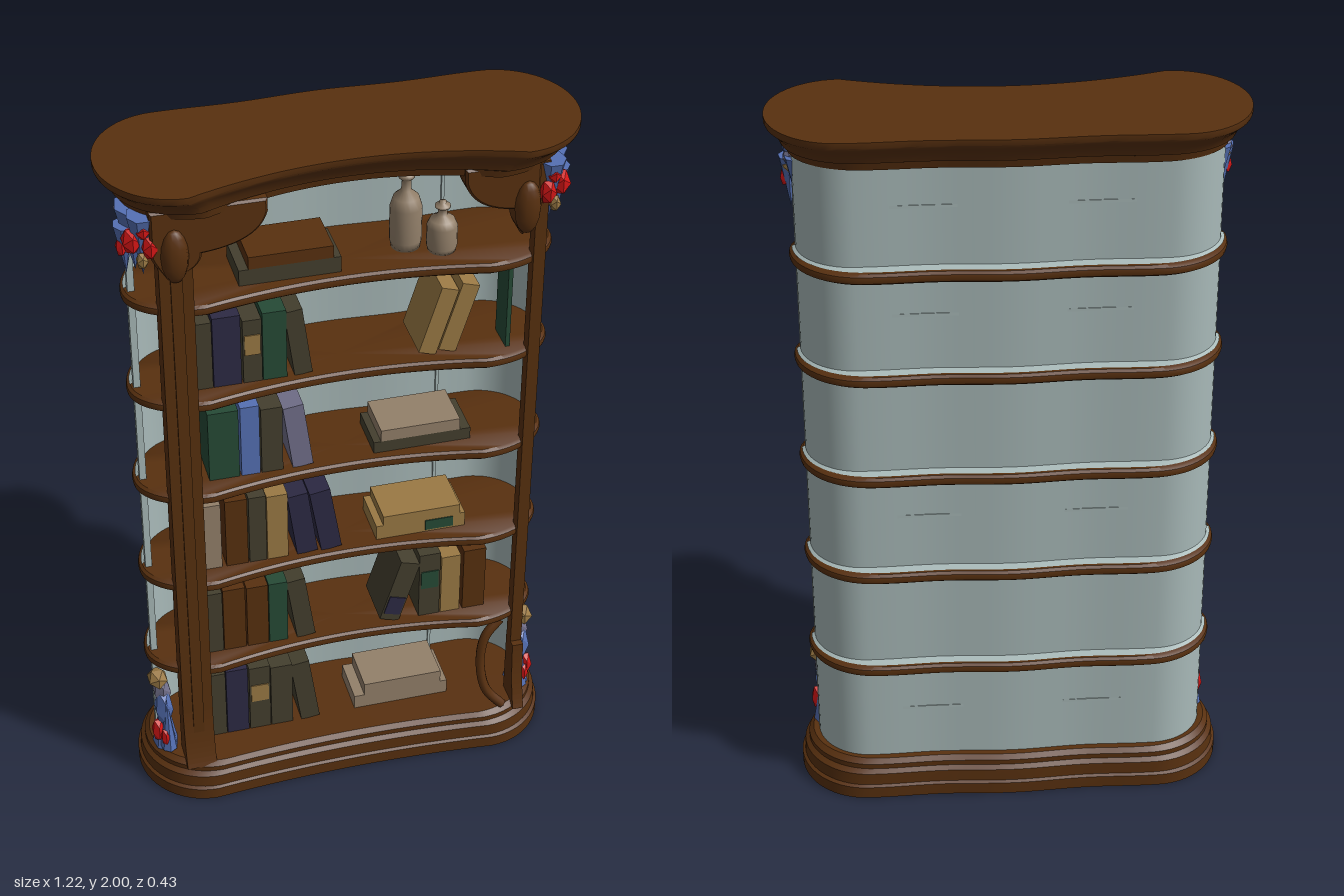
import * as THREE from 'three';
import { toCreasedNormals } from 'three/addons/utils/BufferGeometryUtils.js';

const mat = (name, color, side = THREE.FrontSide) => {
  const m = new THREE.MeshStandardMaterial({ color, side });
  m.name = name;
  return m;
};

// Plan outline: rounded ends, bowed-in front, slightly wavy back. Starts at +x and runs to +z.
const K = 14, M = 24, R = 0.19;
function outline(w, back, front, dip, r = R) {
  const pts = [], xe = w - r;
  const arc = (s, e, n) => {
    for (let i = 0; i < n; i++) {
      const a = (s + ((e - s) * i) / n) * Math.PI;
      const c = Math.cos(a), sn = Math.sin(a);
      pts.push([Math.sign(c) * xe + r * c, sn * (sn > 0 ? front : back)]);
    }
  };
  const line = (sx, zf) => {
    for (let i = 0; i < M; i++) {
      const u = 1 - (2 * i) / M;
      pts.push([sx * xe * u, zf(u)]);
    }
  };
  arc(0, 0.5, K);
  line(1, u => front - dip * (1 - u * u));
  arc(0.50001, 1.5, 2 * K);
  line(-1, u => -back + 0.004 * (1 - Math.cos(2 * Math.PI * u)) - 0.006 * (1 - u * u));
  arc(1.50001, 2, K);
  return pts;
}

// Skin between stacked outlines [y, points]; closed bodies get flat caps.
function loft(layers, closed = true) {
  const pos = [], idx = [], n = layers[0][1].length;
  layers.forEach(([y, pts]) => pts.forEach(([x, z]) => pos.push(x, y, z)));
  for (let l = 0; l < layers.length - 1; l++)
    for (let i = 0; i < (closed ? n : n - 1); i++) {
      const a = l * n + i, b = l * n + ((i + 1) % n);
      idx.push(a, a + n, b, b, a + n, b + n);
    }
  if (closed) {
    const c = pos.length / 3, top = (layers.length - 1) * n;
    pos.push(0, layers[0][0], 0, 0, layers.at(-1)[0], 0);
    for (let i = 0; i < n; i++) {
      const j = (i + 1) % n;
      idx.push(c, i, j, c + 1, top + j, top + i);
    }
  }
  const g = new THREE.BufferGeometry();
  g.setAttribute('position', new THREE.Float32BufferAttribute(pos, 3));
  g.setIndex(idx);
  g.computeVertexNormals();
  return toCreasedNormals(g, 0.6);
}

export function createModel() {
  const root = new THREE.Group();
  const C = {
    wood: mat('wood', 0x58300f),
    glass: mat('pale glass', 0xa8b9b8, THREE.DoubleSide),
    olive: mat('dark olive', 0x443f2e),
    navy: mat('navy', 0x2d2a44),
    green: mat('green', 0x264a36),
    tan: mat('tan', 0x9a7944),
    taupe: mat('taupe', 0x93806a),
    blue: mat('blue', 0x5570b4),
    red: mat('red', 0xd01515),
    lavender: mat('lavender', 0x716f8a),
  };
  const add = (name, geo, m, x = 0, y = 0, z = 0, parent = root) => {
    const mesh = new THREE.Mesh(geo, m);
    mesh.name = name;
    mesh.position.set(x, y, z);
    parent.add(mesh);
    return mesh;
  };
  const box = (w, h, d) => new THREE.BoxGeometry(w, h, d);

  // Moulded base and cornice
  const moulding = (name, profile, w, d, dip) => add(name, loft(profile.map(([y, i]) =>
    [y, outline(w - i, d - i, d - i, dip)])), C.wood);
  moulding('base', [[0, 0], [0.035, 0], [0.04, 0.008], [0.075, 0.01], [0.085, 0.022], [0.1, 0.022], [0.112, 0.035]],
    0.6, 0.203, 0.02);
  moulding('cornice', [[1.905, 0.055], [1.925, 0.05], [1.93, 0.038], [1.95, 0.03], [1.97, 0.012], [1.98, 0.002],
    [1.985, 0], [2, 0]], 0.612, 0.213, 0.078);

  // Curved glass wall around the back, with its front edges and back seams
  const backHalf = ring => [...ring.slice(2 * K + M), ring[0]];
  const wall = backHalf(outline(0.548, 0.15, 0.15, 0, 0.15));
  add('glassWall', loft([[0.1, wall], [1.92, wall]], false), C.glass);
  for (const s of [-1, 1]) add('glassEdge', box(0.018, 1.8, 0.02), C.glass, s * 0.54, 1.01, 0.004);
  add('uprightSeam', box(0.008, 1.8, 0.008), C.glass, 0.315, 1.01, -0.143);
  for (const y of [0.27, 0.9, 1.5, 1.8]) add('crossSeam', box(0.7, 0.008, 0.008), C.glass, -0.035, y, -0.145);

  // Shelves with rounded rims and a pale sealing lip behind
  const levels = [0.418, 0.722, 1.024, 1.324, 1.618];
  const lip = backHalf(outline(0.557, 0.172, 0.13, 0));
  for (const y of levels) {
    add('shelf', loft([[-0.015, 0.01], [-0.009, 0.002], [0, 0], [0.009, 0.002], [0.015, 0.01]].map(([dy, i]) =>
      [y + dy, outline(0.565 - i, 0.187 - i, 0.13 - i, 0.04)])), C.wood);
    add('glassLip', loft([[y + 0.017, lip], [y + 0.022, wall]], false), C.glass);
  }

  // Front posts with flared feet
  const foot = new THREE.Shape();
  foot.moveTo(0.08, 0.1);
  foot.lineTo(0.172, 0.1);
  foot.quadraticCurveTo(0.14, 0.18, 0.138, 0.32);
  foot.lineTo(0.08, 0.32);
  const post = (name, x, w, z, d) => {
    add(name, box(w, 1.82, d), C.wood, x, 1.0, z);
    const g = new THREE.ExtrudeGeometry(foot, { depth: w, bevelEnabled: false });
    g.rotateY(-Math.PI / 2);
    add(name + 'Foot', g, C.wood, x + w / 2, 0, 0);
  };
  post('wideFrontPost', -0.447, 0.085, 0.11, 0.058);
  add('wideFrontPostRib', box(0.03, 1.7, 0.01), C.wood, -0.447, 1.0, 0.14);
  post('narrowFrontPost', 0.496, 0.032, 0.1, 0.036);
  add('curvedFootBrace', new THREE.TubeGeometry(new THREE.CatmullRomCurve3([[0.45, 0.4, 0.1], [0.405, 0.35, 0.11],
    [0.39, 0.26, 0.12], [0.405, 0.17, 0.14], [0.45, 0.115, 0.155]].map(p => new THREE.Vector3(...p))),
    24, 0.014, 8), C.wood);

  // Carved arch brackets under the cornice
  const bracket = (s, outer, reach, inner, drop) => {
    const sh = new THREE.Shape();
    sh.moveTo(s * outer, 1.92);
    sh.lineTo(s * outer, 1.8);
    sh.quadraticCurveTo(s * (outer - 0.01), drop + 0.04, s * (outer - 0.035), drop);
    sh.quadraticCurveTo(s * inner, drop + 0.02, s * inner, 1.8);
    sh.quadraticCurveTo(s * (reach + 0.02), 1.81, s * reach, 1.89);
    sh.lineTo(s * reach, 1.92);
    add('archBracket', new THREE.ExtrudeGeometry(sh, { depth: 0.055, bevelSize: 0.006, bevelThickness: 0.006,
      bevelSegments: 1 }), C.wood, 0, 0, 0.08);
    const leaf = add('bracketLeaf', new THREE.SphereGeometry(0.05, 10, 8), C.wood, s * 0.448, 1.8, 0.143);
    leaf.scale.set(0.7, 1.5, 0.5);
  };
  bracket(-1, 0.5, 0.22, 0.385, 1.735);
  bracket(1, 0.475, 0.29, 0.425, 1.725);

  // Draped corner ornaments: [shape, colour, x, y, z, size, scaleY]; a negative scale points down
  const faceted = g => {
    const f = g.toNonIndexed();
    f.computeVertexNormals();
    return f;
  };
  const chip = faceted(new THREE.IcosahedronGeometry(1, 0));
  const cone = faceted(new THREE.ConeGeometry(1, 2, 7));
  const upper = [[cone, 'blue', 0.53, 1.81, 0.045, 0.058, -1.6], [cone, 'blue', 0.535, 1.815, 0, 0.04, -1.7],
    [cone, 'blue', 0.52, 1.82, 0.1, 0.045, -1.9], [cone, 'blue', 0.555, 1.79, 0.06, 0.035, -2],
    [chip, 'red', 0.545, 1.835, 0.1, 0.034, 1.1], [chip, 'red', 0.505, 1.825, 0.125, 0.028, 1.3],
    [chip, 'tan', 0.553, 1.84, 0.05, 0.026, 1], [chip, 'tan', 0.525, 1.79, 0.125, 0.02, 1.2],
    [chip, 'red', 0.565, 1.8, 0.065, 0.02, 1.4], [chip, 'red', 0.52, 1.87, 0.12, 0.024, 1],
    [chip, 'lavender', 0.55, 1.875, 0.015, 0.028, 0.8]];
  const lower = [[cone, 'blue', 0.528, 0.21, 0.045, 0.046, 2.2], [cone, 'blue', 0.525, 0.21, 0.08, 0.03, 3],
    [chip, 'blue', 0.53, 0.25, 0.055, 0.036, 2], [chip, 'lavender', 0.53, 0.3, 0.04, 0.034, 1.5],
    [chip, 'tan', 0.54, 0.345, 0.035, 0.038, 0.8], [chip, 'red', 0.55, 0.17, 0.06, 0.025, 1.7],
    [chip, 'red', 0.535, 0.165, 0.09, 0.018, 1.8], [chip, 'blue', 0.525, 0.15, 0.015, 0.025, 1.5]];
  for (const s of [-1, 1])
    for (const [g, c, x, y, z, r, sy] of [...upper, ...lower]) {
      const m = add('cornerOrnament', g, C[c], s * x, y, z);
      if (sy < 0) m.rotation.x = Math.PI;
      m.scale.set(r * 0.8, r * Math.abs(sy), r);
    }

  // Upright books: [shelf, left, right, height, colour, lean, patch colour]
  const floor = [0.112, ...levels.map(y => y + 0.015)];
  const books = [
    [0, -0.4, -0.35, 0.23, 'olive'], [0, -0.35, -0.285, 0.235, 'navy'], [0, -0.283, -0.22, 0.23, 'olive', 0, 'tan'],
    [0, -0.22, -0.155, 0.22, 'olive'], [0, -0.147, -0.09, 0.22, 'olive', 0.14],
    [1, -0.4, -0.35, 0.21, 'olive'], [1, -0.35, -0.285, 0.215, 'wood'], [1, -0.283, -0.22, 0.21, 'wood'],
    [1, -0.22, -0.165, 0.21, 'green'], [1, -0.155, -0.1, 0.21, 'olive', 0.14],
    [1, 0.13, 0.19, 0.205, 'olive', -0.3, 'navy'], [1, 0.215, 0.278, 0.22, 'olive', 0, 'green'],
    [1, 0.28, 0.338, 0.2, 'tan'], [1, 0.345, 0.412, 0.21, 'wood'],
    [2, -0.4, -0.345, 0.215, 'taupe'], [2, -0.335, -0.272, 0.22, 'wood'], [2, -0.27, -0.22, 0.22, 'olive'],
    [2, -0.22, -0.16, 0.215, 'tan'], [2, -0.15, -0.09, 0.205, 'navy', 0.13], [2, -0.085, -0.025, 0.205, 'navy', 0.16],
    [3, -0.372, -0.288, 0.215, 'green'], [3, -0.285, -0.232, 0.22, 'blue'], [3, -0.23, -0.17, 0.205, 'olive'],
    [3, -0.158, -0.1, 0.2, 'lavender', 0.13],
    [4, -0.4, -0.35, 0.2, 'olive'], [4, -0.35, -0.275, 0.21, 'navy'], [4, -0.272, -0.22, 0.19, 'olive', 0, 'tan'],
    [4, -0.22, -0.155, 0.205, 'green'], [4, -0.15, -0.1, 0.2, 'olive', 0.13],
    [4, 0.225, 0.275, 0.2, 'tan', -0.3], [4, 0.28, 0.33, 0.205, 'tan', -0.3],
  ];
  for (const [s, l, r, h, c, lean = 0, patch] of books) {
    const b = add('book', box(r - l - 0.002, h, 0.15), C[c], (l + r) / 2, floor[s] + h / 2, -0.01);
    b.rotation.z = lean;
    if (patch) add('spinePatch', box((r - l) * 0.8, 0.06, 0.004), C[patch], 0, lean ? -0.05 : 0.02, 0.076, b);
  }

  // Lying book stacks: [shelf, left, right, bottom, height, colour]
  for (const [s, l, r, y, h, c] of [
    [0, 0.03, 0.31, 0, 0.045, 'taupe'], [0, 0.06, 0.29, 0.045, 0.04, 'taupe'],
    [2, 0.09, 0.345, 0, 0.045, 'tan'], [2, 0.11, 0.33, 0.045, 0.03, 'tan'],
    [3, 0.08, 0.35, 0, 0.035, 'olive'], [3, 0.1, 0.32, 0.035, 0.035, 'taupe'],
    [5, -0.275, -0.01, 0, 0.045, 'olive'], [5, -0.25, -0.03, 0.045, 0.035, 'wood']])
    add('lyingBook', box(r - l, h, 0.14), C[c], (l + r) / 2, floor[s] + y + h / 2, -0.01);
  add('coverPatch', box(0.08, 0.032, 0.004), C.green, 0.27, floor[2] + 0.023, 0.061);

  // Two stoppered bottles on the top shelf
  const vase = (x, z, r, h) => add('bottle', new THREE.LatheGeometry([[0, 0], [0.9, 0], [1, 0.1], [1, 0.5], [0.8, 0.62],
    [0.32, 0.7], [0.28, 0.82], [0.5, 0.86], [0.5, 0.9], [0.2, 0.93], [0.25, 0.97], [0, 1]].map(([a, b]) =>
    new THREE.Vector2(a * r, b * h)), 20), C.taupe, x, floor[5], z);
  vase(0.18, -0.02, 0.042, 0.235);
  vase(0.265, 0.02, 0.04, 0.145);

  // Thin slanted-top book standing edge-on at the right, and a slim bar below it
  const slab = new THREE.Shape([[0, 0], [0.085, 0], [0.085, 0.2], [0, 0.24]].map(p => new THREE.Vector2(...p)));
  const edgeOn = add('edgeOnBook', new THREE.ExtrudeGeometry(slab, { depth: 0.012, bevelEnabled: false }),
    C.green, 0.43, floor[4], 0.08);
  edgeOn.rotation.y = Math.PI / 2;
  add('slimBar', box(0.15, 0.006, 0.006), C.olive, 0.385, 1.245, -0.05);
  return root;
}
